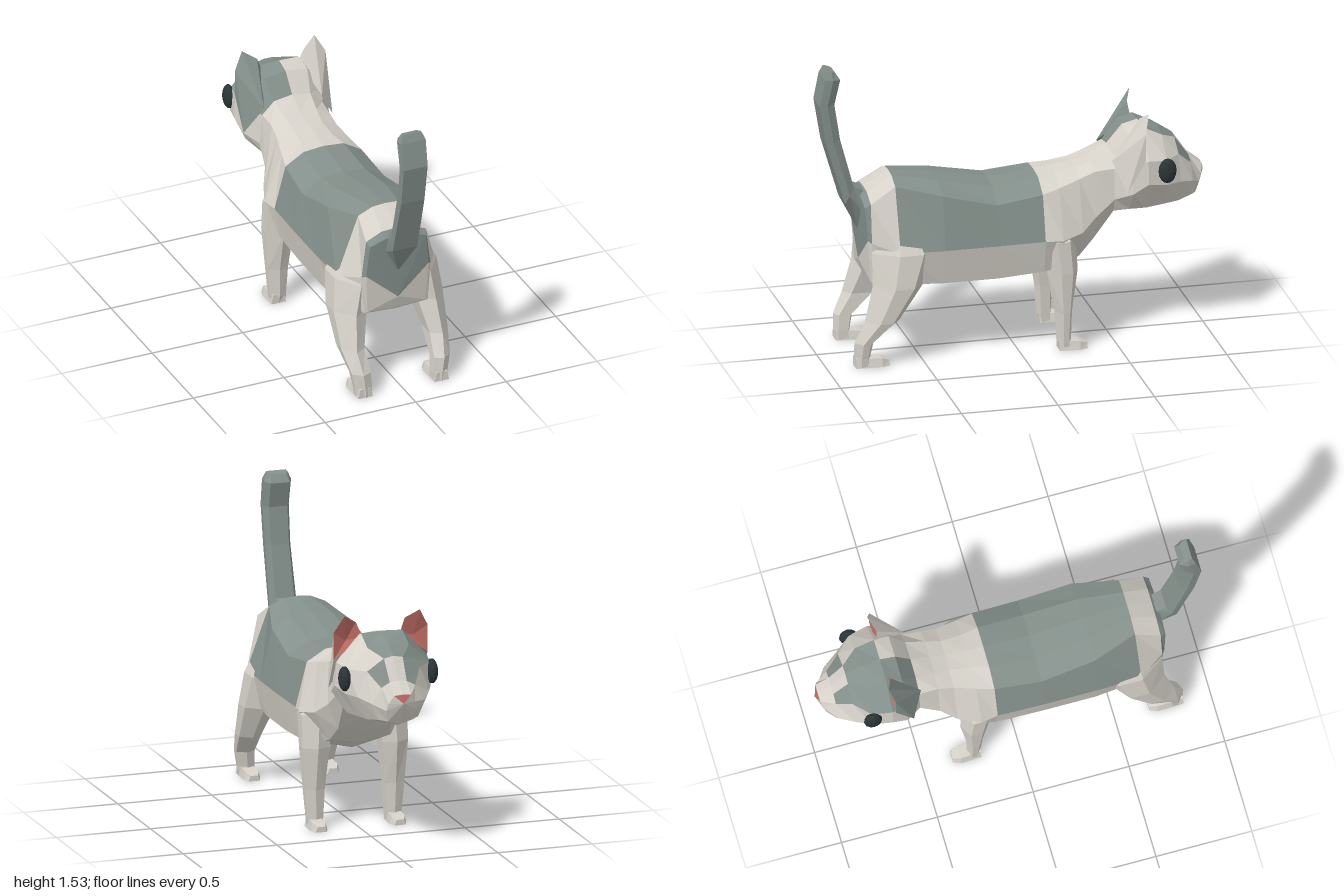
import * as THREE from 'three';

const material = (name, color) => {
  const m = new THREE.MeshStandardMaterial({ color, flatShading: true });
  m.name = name;
  return m;
};

// Faceted closed mesh from [a, b, c, materialIndex] triangles, turned outwards by signed volume
function faceted(name, tris, mats) {
  const volume = tris.reduce((v, [a, b, c]) => v + a.dot(b.clone().cross(c)), 0);
  const geo = new THREE.BufferGeometry();
  const points = [];
  mats.forEach((_, m) => {
    const start = points.length;
    for (const [a, b, c, k] of tris) if (k === m) points.push(...(volume < 0 ? [a, c, b] : [a, b, c]));
    geo.addGroup(start, points.length - start, m);
  });
  geo.setFromPoints(points);
  geo.computeVertexNormals();
  const mesh = new THREE.Mesh(geo, mats);
  mesh.name = name;
  return mesh;
}

// Skin closed rings of points; paint(ring, segment) picks the material, ring -1 and last are the caps
function loft(name, rings, mats, paint = () => 0, ends = []) {
  const tris = [], n = rings[0].length, last = rings.length - 1;
  const centre = r => r.reduce((s, p) => s.add(p), new THREE.Vector3()).divideScalar(n);
  const c0 = ends[0] || centre(rings[0]), c1 = ends[1] || centre(rings[last]);
  for (let i = 0; i < n; i++) {
    const j = (i + 1) % n;
    for (let k = 0; k < last; k++) {
      const [a, b, c, d] = [rings[k][i], rings[k][j], rings[k + 1][j], rings[k + 1][i]];
      tris.push([a, b, c, paint(k, i)], [a, c, d, paint(k, i)]);
    }
    tris.push([c0, rings[0][j], rings[0][i], paint(-1, i)]);
    tris.push([c1, rings[last][i], rings[last][j], paint(last, i)]);
  }
  return faceted(name, tris, mats);
}

const V = (x, y, z) => new THREE.Vector3(x, y, z);

// Symmetric ten-sided ring from z, top y, four side points (x, y) and bottom y
function ring([z, top, x1, y1, x2, y2, x3, y3, x4, y4, bottom], lean = 0) {
  const half = [[x1, y1], [x2, y2], [x3, y3], [x4, y4]];
  const at = (x, y) => V(x, y, z + (top - y) * lean);
  return [at(0, top), ...half.map(([x, y]) => at(x, y)), at(0, bottom),
    ...half.reverse().map(([x, y]) => at(-x, y))];
}
// Segment counted from the top, 0 to 4, and its side
const seg = i => (i < 5 ? [i, 1] : [9 - i, -1]);

// Six-sided leg from rows of y, back z, front z, inner x, outer x
function leg(name, rows, side, mats) {
  const rings = rows.map(([y, zb, zf, xi, xo]) => {
    const m = (xi + xo) / 2, d = zb - zf;
    return [[xi, zb - d * 0.2], [m, zb], [xo, zb - d * 0.38], [xo, zf + d * 0.25], [m, zf], [xi, zf + d * 0.2]]
      .map(([x, z]) => V(side * x, y, z));
  });
  return loft(name, rings, mats);
}

function paw(name, back, front, side, mats) {
  const section = (z, xi, xo, h) => [V(side * xi, 0, z), V(side * xo, 0, z),
    V(side * (xo - 0.01), h, z), V(side * (xi + 0.01), h, z)];
  return loft(name, [section(back, 0.17, 0.25, 0.05), section(front + 0.04, 0.165, 0.255, 0.042),
    section(front, 0.18, 0.24, 0.028)], mats);
}

// Ear with a pink hollow facing forward and fur behind
function ear(name, s, mats) {
  const p = (x, y, z) => V(s * x, y, z);
  const rim = [p(0.10, 1.09, -0.65), p(0.13, 1.165, -0.64), p(0.2, 1.21, -0.67),
    p(0.25, 1.12, -0.645), p(0.25, 0.98, -0.645)];
  const back = p(0.16, 0.96, -0.49), low = p(0.245, 0.81, -0.55), hollow = p(0.18, 1.07, -0.625);
  const tris = [[rim[3], rim[4], low, 0], [rim[3], low, back, 0], [rim[4], rim[0], low, 0],
    [rim[0], back, low, 0]];
  rim.forEach((a, i) => {
    const b = rim[(i + 1) % rim.length];
    if (i < 3) tris.push([a, b, back, 0]);
    tris.push([b, a, hollow, 1]);
  });
  return faceted(name, tris, mats);
}

export function createModel() {
  const pale = material('pale fur', 0xd6d2ca);
  const grey = material('grey fur', 0x84908b);
  const pink = material('pink skin', 0xbd6c63);
  const dark = material('dark eye', 0x2b3537);
  const model = new THREE.Group();
  model.name = 'cat';

  // Body from rump to neck, with a grey saddle and a grey rump patch
  const bodyRows = [
    [0.76, 0.885, 0.08, 0.88, 0.165, 0.84, 0.19, 0.64, 0.175, 0.43, 0.42],
    [0.63, 0.96, 0.07, 0.955, 0.15, 0.92, 0.268, 0.60, 0.22, 0.42, 0.39],
    [0.40, 0.93, 0.11, 0.92, 0.215, 0.87, 0.275, 0.60, 0.24, 0.415, 0.365],
    [0.12, 0.88, 0.12, 0.865, 0.225, 0.80, 0.275, 0.60, 0.24, 0.415, 0.345],
    [-0.12, 0.90, 0.11, 0.89, 0.21, 0.83, 0.27, 0.60, 0.24, 0.43, 0.37],
    [-0.21, 0.91, 0.09, 0.90, 0.19, 0.85, 0.285, 0.60, 0.22, 0.44, 0.39],
    [-0.32, 0.925, 0.08, 0.92, 0.165, 0.88, 0.24, 0.62, 0.16, 0.47, 0.445],
    [-0.40, 0.95, 0.09, 0.945, 0.16, 0.91, 0.195, 0.68, 0.14, 0.55, 0.525],
    [-0.50, 1.0, 0.10, 0.985, 0.165, 0.92, 0.18, 0.76, 0.15, 0.69, 0.64],
  ];
  const rump = ring([0.79, 0.86, 0.07, 0.85, 0.155, 0.82, 0.172, 0.65, 0.16, 0.435, 0.43], -0.06);
  const bodyRings = [rump, ...bodyRows.map(r => ring(r))];
  model.add(loft('body', bodyRings, [pale, grey], (k, i) => {
    const upper = seg(i)[0] <= 2;
    return upper && (k <= 0 || (k >= 2 && k <= 4)) ? 1 : 0;
  }, [V(0, 0.50, 0.785)]));

  // Head from neck to nose, with a grey forehead and a one-sided grey patch
  const headRows = [
    [-0.58, 1.095, 0.12, 1.08, 0.22, 0.95, 0.24, 0.80, 0.17, 0.70, 0.65],
    [-0.66, 1.115, 0.11, 1.11, 0.24, 0.97, 0.25, 0.85, 0.185, 0.705, 0.665],
    [-0.76, 1.08, 0.11, 1.06, 0.22, 0.96, 0.225, 0.83, 0.165, 0.71, 0.675],
    [-0.84, 1.03, 0.05, 1.02, 0.14, 0.96, 0.19, 0.83, 0.135, 0.71, 0.68],
    [-0.915, 0.92, 0.045, 0.915, 0.09, 0.89, 0.14, 0.81, 0.105, 0.725, 0.69],
  ];
  const headRings = [bodyRings.at(-1), ...headRows.map(r => ring(r)),
    ring([-0.985, 0.865, 0.045, 0.862, 0.07, 0.82, 0.08, 0.78, 0.065, 0.72, 0.70], 0.28)];
  model.add(loft('head', headRings, [pale, grey, pink], (k, i) => {
    const [j, s] = seg(i);
    if (k === 6) return j === 0 ? 2 : 0;
    if (k < 2) return s < 0 && j < 2 && k >= 0 ? 1 : 0;
    if (k < 4) return j === 0 || (j === 1 && s < 0) ? 1 : 0;
    return k === 4 && j === 1 ? 1 : 0;
  }, [null, V(0, 0.82, -1)]));

  // Tail from rows of outer z, y, inner z, y and half widths
  const tailRows = [
    [0.79, 0.66, 0.77, 0.88, 0.005, 0.065], [0.87, 0.82, 0.82, 0.90, 0.068, 0.072],
    [0.965, 1.14, 0.89, 1.16, 0.064, 0.067], [1.0, 1.35, 0.92, 1.35, 0.066, 0.07],
    [0.972, 1.49, 0.89, 1.48, 0.068, 0.072], [0.955, 1.53, 0.915, 1.52, 0.052, 0.055],
  ];
  model.add(loft('tail', tailRows.map(([zo, yo, zi, yi, wo, wm]) => {
    const zm = (zo + zi) / 2, ym = (yo + yi) / 2;
    return [V(wo, yo, zo), V(wm, ym, zm), V(wm * 0.7, yi, zi),
      V(-wm * 0.7, yi, zi), V(-wm, ym, zm), V(-wo, yo, zo)];
  }), [grey]));

  // Paired parts; the legs end inside the flanks
  const foreLeg = [[0.66, -0.14, -0.26, 0.12, 0.23], [0.59, -0.11, -0.29, 0.12, 0.28],
    [0.42, -0.14, -0.30, 0.14, 0.28], [0.2, -0.18, -0.27, 0.16, 0.265],
    [0.04, -0.19, -0.265, 0.168, 0.25], [0, -0.2, -0.265, 0.17, 0.245]];
  const hindLeg = [[0.74, 0.72, 0.48, 0.08, 0.20], [0.59, 0.76, 0.43, 0.10, 0.28],
    [0.42, 0.765, 0.50, 0.14, 0.30], [0.24, 0.81, 0.63, 0.18, 0.293],
    [0.13, 0.86, 0.76, 0.175, 0.27], [0.05, 0.86, 0.775, 0.17, 0.255], [0, 0.86, 0.775, 0.17, 0.25]];
  for (const s of [1, -1]) {
    const side = s > 0 ? 'left' : 'right';
    model.add(leg(side + 'FrontLeg', foreLeg, s, [pale]));
    model.add(paw(side + 'FrontPaw', -0.2, -0.345, s, [pale]));
    model.add(leg(side + 'HindLeg', hindLeg, s, [pale]));
    model.add(paw(side + 'HindPaw', 0.855, 0.68, s, [pale]));
    model.add(ear(side + 'Ear', s, [s > 0 ? pale : grey, pink]));
    const eye = new THREE.Mesh(new THREE.SphereGeometry(1, 12, 8), dark);
    eye.name = side + 'Eye';
    eye.scale.set(0.03, 0.065, 0.047);
    eye.position.set(s * 0.232, 0.91, -0.76);
    model.add(eye);
  }
  return model;
}
